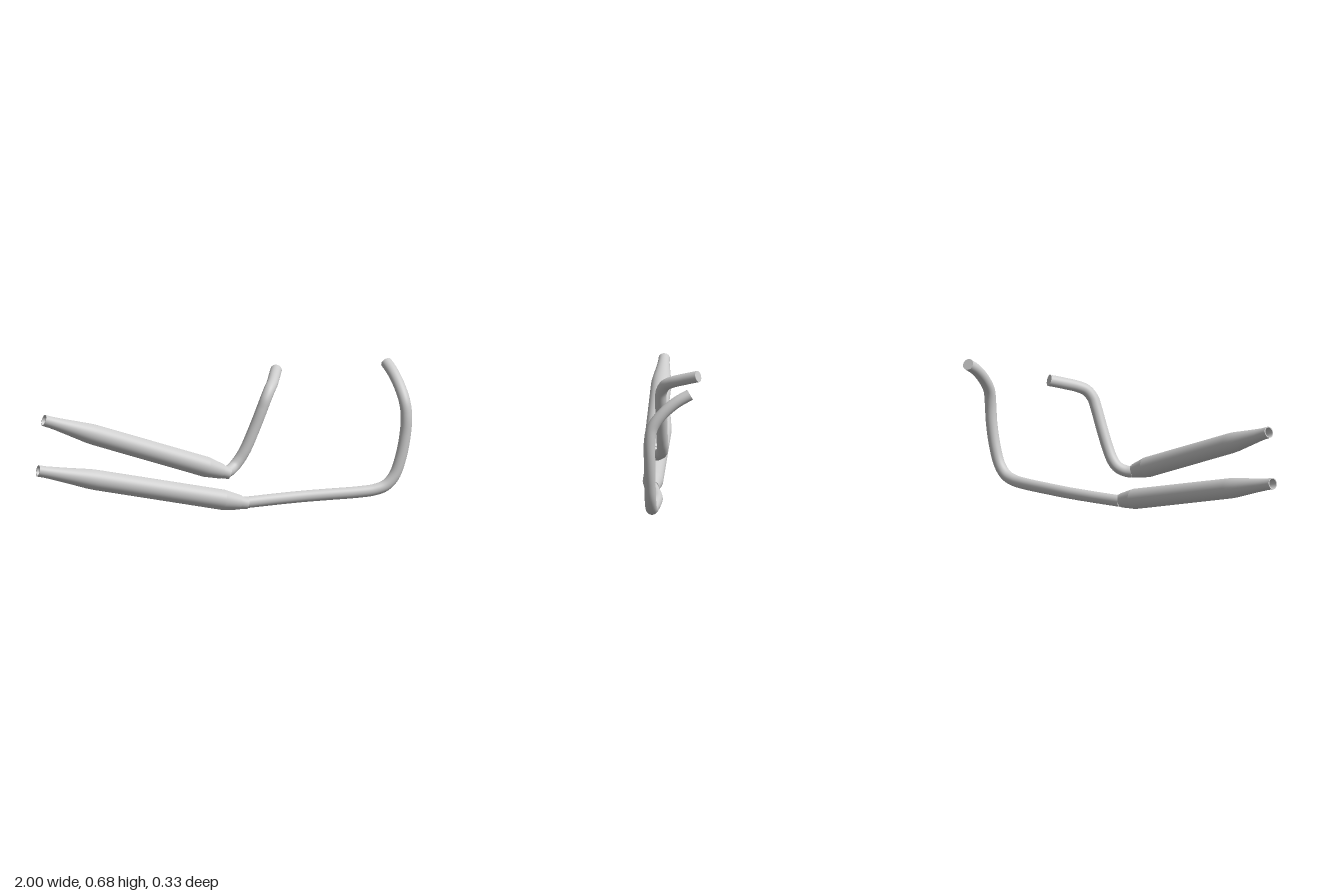
import * as THREE from 'three';

const V = (x, y, z) => new THREE.Vector3(x, y, z);

// Turned silencer: open tail at "tail", conical nose and collar at "nose"
function createSilencer(name, tail, nose, rearLength, noseLength, material) {
  const axis = nose.clone().sub(tail);
  const L = axis.length();
  const body = 0.0515;
  const corner = (r, y) => [[r, y], [r, y]]; // doubled point keeps the edge crisp
  const profile = [
    // hollow outlet and rim
    [0, 0.12], ...corner(0.024, 0.12), ...corner(0.024, 0), ...corner(0.029, 0),
    // swelling tail cone
    [0.0295, 0.04], [0.032, 0.075], [0.037, rearLength * 0.5],
    [0.046, rearLength * 0.85], [0.05, rearLength], [body, rearLength + 0.04],
    // barrel, nose cone, step and collar
    ...corner(body, L - noseLength),
    ...corner(0.037, L - 0.04), ...corner(0.034, L - 0.04),
    ...corner(0.0285, L), [0, L],
  ].map(([r, y]) => new THREE.Vector2(r, y));
  const mesh = new THREE.Mesh(new THREE.LatheGeometry(profile, 40), material);
  mesh.name = name;
  mesh.position.copy(tail);
  mesh.quaternion.setFromUnitVectors(V(0, 1, 0), axis.normalize());
  return mesh;
}

// Bent header pipe with flat end discs
function createPipe(name, points, material) {
  const radius = 0.029;
  const curve = new THREE.CatmullRomCurve3(points, false, 'centripetal');
  const pipe = new THREE.Group();
  pipe.name = name;
  const tube = new THREE.Mesh(new THREE.TubeGeometry(curve, 120, radius, 28), material);
  tube.name = name + 'Tube';
  pipe.add(tube);
  for (const [t, sign] of [[0, -1], [1, 1]]) {
    const cap = new THREE.Mesh(new THREE.CircleGeometry(radius, 28), material);
    cap.name = name + 'End';
    cap.position.copy(curve.getPointAt(t));
    cap.quaternion.setFromUnitVectors(V(0, 0, 1), curve.getTangentAt(t).multiplyScalar(sign));
    pipe.add(cap);
  }
  return pipe;
}

export function createModel() {
  const steel = new THREE.MeshStandardMaterial({ color: 0xcccccc });
  steel.name = 'brushed steel';
  const model = new THREE.Group();
  model.name = 'exhaustSystem';

  // Silencers
  model.add(createSilencer('lowerSilencer', V(-0.993, 0.278, 0.116), V(0.115, 0.034, 0.102), 0.275, 0.13, steel));
  model.add(createSilencer('upperSilencer', V(-0.963, 0.537, 0.118), V(0.02, 0.195, 0.102), 0.25, 0.13, steel));

  // Long lower header: runs forward, then sweeps up and inward
  model.add(createPipe('lowerHeader', [
    V(0.08, 0.038, 0.094), V(0.14, 0.038, 0.086), V(0.28, 0.039, 0.065), V(0.42, 0.04, 0.05),
    V(0.55, 0.041, 0.047), V(0.72, 0.043, 0.047), V(0.8, 0.049, 0.047), V(0.86, 0.068, 0.047),
    V(0.905, 0.115, 0.047), V(0.938, 0.2, 0.047), V(0.963, 0.32, 0.047), V(0.97, 0.42, 0.046),
    V(0.965, 0.49, 0.032), V(0.955, 0.555, -0.015), V(0.941, 0.615, -0.085), V(0.927, 0.654, -0.154),
  ], steel));

  // Short upper header: climbs steeply, then turns inward
  model.add(createPipe('upperHeader', [
    V(-0.005, 0.2, 0.095), V(0.025, 0.203, 0.077), V(0.06, 0.221, 0.054), V(0.088, 0.25, 0.047),
    V(0.12, 0.3, 0.047), V(0.17, 0.41, 0.047), V(0.207, 0.5, 0.047), V(0.23, 0.554, 0.043),
    V(0.255, 0.593, 0.022), V(0.282, 0.615, -0.018), V(0.314, 0.636, -0.085), V(0.345, 0.655, -0.152),
  ], steel));

  return model;
}
